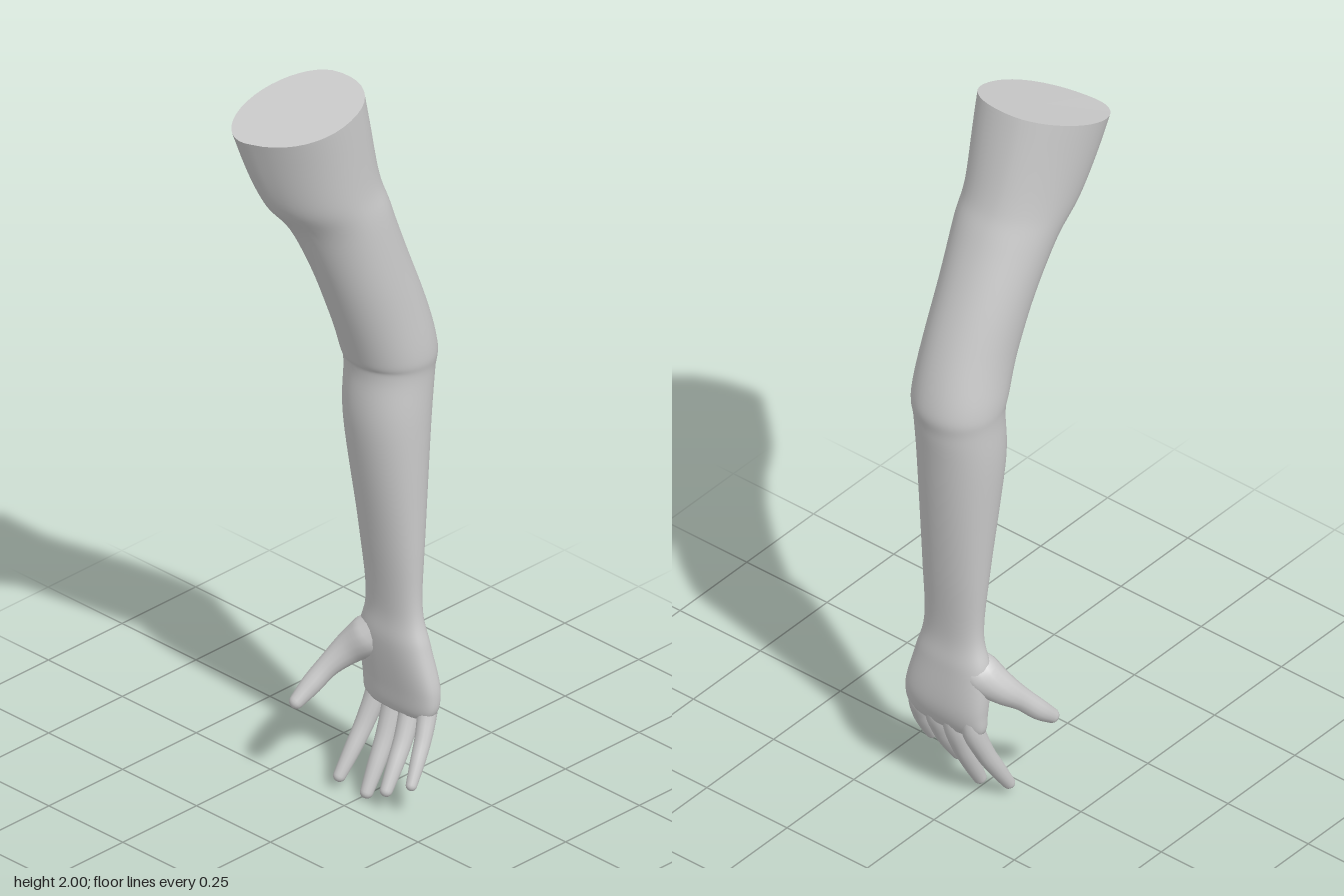
import * as THREE from 'three';

const material = new THREE.MeshStandardMaterial({ color: 0xcccccc });

// Smooth skin over a list of closed rings (each an array of Vector3)
function loft(name, rings) {
  const n = rings[0].length, index = [];
  for (let i = 0; i < rings.length - 1; i++) {
    for (let j = 0; j < n; j++) {
      const a = i * n + j, b = i * n + (j + 1) % n;
      index.push(a, b, a + n, b, b + n, a + n);
    }
  }
  const geometry = new THREE.BufferGeometry().setFromPoints(rings.flat());
  geometry.setIndex(index);
  geometry.computeVertexNormals();
  const mesh = new THREE.Mesh(geometry, material);
  mesh.name = name;
  return mesh;
}

// Catmull-Rom interpolation through rows of numbers
function sampleRows(rows, t) {
  const f = t * (rows.length - 1), i = Math.min(Math.floor(f), rows.length - 2), u = f - i;
  const at = k => rows[Math.max(0, Math.min(rows.length - 1, k))];
  return rows[0].map((_, c) => {
    const p0 = at(i - 1)[c], p1 = at(i)[c], p2 = at(i + 1)[c], p3 = at(i + 2)[c];
    return p1 + 0.5 * u * (p2 - p0 + u * (2 * p0 - 5 * p1 + 4 * p2 - p3 + u * (3 * (p1 - p2) + p3 - p0)));
  });
}

// Arm sections: right x, left x, front y, front z, back y, back z
const ARM = [
  [-0.17, 0.11, 1.905, 0.26, 2.0, -0.015],
  [-0.14, 0.105, 1.71, 0.19, 1.77, -0.064],
  [-0.125, 0.113, 1.59, 0.11, 1.65, -0.107],
  [-0.106, 0.12, 1.34, 0.015, 1.39, -0.21],
  [-0.108, 0.124, 1.22, -0.028, 1.23, -0.257],
  [-0.105, 0.117, 1.175, -0.042, 1.15, -0.253],
  [-0.102, 0.117, 1.02, -0.04, 1.02, -0.238],
  [-0.075, 0.11, 0.71, -0.083, 0.71, -0.207],
  [-0.062, 0.107, 0.52, -0.105, 0.52, -0.19],
  [-0.083, 0.13, 0.42, -0.103, 0.42, -0.197],
  [-0.083, 0.155, 0.3, -0.116, 0.3, -0.202],
  [-0.067, 0.135, 0.233, -0.127, 0.233, -0.183],
  [0.03, 0.03, 0.222, -0.155, 0.222, -0.155],
];

// Oval section: tilted towards the shoulder, squarer towards the palm
function armRing([x0, x1, fy, fz, by, bz], sides = 40) {
  const e = THREE.MathUtils.lerp(0.77, 0.95, THREE.MathUtils.smoothstep(fy, 0.3, 0.6));
  const tilt = 0.035 * THREE.MathUtils.smoothstep(fy, 1.4, 1.85);
  const power = v => Math.sign(v) * Math.abs(v) ** e;
  return Array.from({ length: sides }, (_, j) => {
    const a = j / sides * Math.PI * 2, c = power(Math.cos(a)), s = power(Math.sin(a));
    return new THREE.Vector3(
      (x0 + x1) / 2 + (x1 - x0) / 2 * c - tilt * 0.7 * Math.abs(s) * (1 - Math.abs(c)),
      (fy + by) / 2 + (fy - by) / 2 * s + tilt * 0.4 * c,
      (fz + bz) / 2 + (fz - bz) / 2 * s - tilt * c);
  });
}

// Flat cut closing the shoulder end
function cutCap(ring) {
  const centre = new THREE.Vector3();
  ring.forEach(p => centre.addScaledVector(p, 1 / ring.length));
  return loft('shoulderCut', [ring.map(() => centre.clone()), ring]);
}

// Tapered digit with rounded tip; points are x, y, z, radius
function digit(name, points, sides = 14, steps = 24) {
  const rows = [];
  for (let i = 0; i <= steps; i++) rows.push(sampleRows(points, i / steps));
  const last = rows[steps], end = new THREE.Vector3(...last);
  const dir = end.clone().sub(new THREE.Vector3(...rows[steps - 1])).normalize();
  for (let k = 1; k <= 5; k++) {
    const a = k / 5 * Math.PI / 2;
    const p = end.clone().addScaledVector(dir, last[3] * Math.sin(a));
    rows.push([p.x, p.y, p.z, last[3] * Math.cos(a)]);
  }
  return loft(name, rows.map((row, i) => {
    const p = new THREE.Vector3(...row);
    const t = new THREE.Vector3(...rows[Math.min(i + 1, rows.length - 1)])
      .sub(new THREE.Vector3(...rows[Math.max(i - 1, 0)])).normalize();
    const u = new THREE.Vector3(1, 0, 0).addScaledVector(t, -t.x).normalize();
    const v = t.clone().cross(u);
    return Array.from({ length: sides }, (_, j) => {
      const a = j / sides * Math.PI * 2;
      return p.clone().addScaledVector(u, row[3] * Math.cos(a)).addScaledVector(v, row[3] * Math.sin(a));
    });
  }));
}

// Finger curling forward: base x, base y, tip x, tip y, tip z, radius
function finger(name, [bx, by, tx, ty, tz, r]) {
  const { lerp } = THREE.MathUtils, bz = -0.162;
  return digit(name, [
    [bx, by + 0.09, bz, r * 0.8],
    [bx, by, bz, r * 1.08],
    [lerp(bx, tx, 0.4), lerp(by, ty, 0.4), lerp(bz, tz, 0.3), r * 0.95],
    [lerp(bx, tx, 0.72), lerp(by, ty, 0.72), lerp(bz, tz, 0.66), r * 0.82],
    [tx, ty, tz, r * 0.62],
  ]);
}

export function createModel() {
  const model = new THREE.Group();
  model.name = 'arm';

  // Upper arm, forearm and palm as one skin
  const rings = [], steps = 120;
  for (let i = 0; i <= steps; i++) rings.push(armRing(sampleRows(ARM, i / steps)));
  model.add(loft('armAndPalm', rings), cutCap(rings[0]));

  // Four fingers
  model.add(
    finger('indexFinger', [-0.047, 0.25, -0.07, 0.035, -0.055, 0.026]),
    finger('middleFinger', [0.01, 0.245, 0.011, 0.018, -0.066, 0.027]),
    finger('ringFinger', [0.066, 0.25, 0.083, 0.053, -0.06, 0.026]),
    finger('littleFinger', [0.122, 0.265, 0.153, 0.089, -0.075, 0.023]));

  // Thumb with the fleshy pad at its root
  model.add(digit('thumb', [
    [-0.01, 0.455, -0.148, 0.03],
    [-0.045, 0.405, -0.138, 0.051],
    [-0.088, 0.36, -0.108, 0.041],
    [-0.118, 0.315, -0.065, 0.029],
    [-0.137, 0.27, -0.025, 0.026],
    [-0.148, 0.235, 0.012, 0.019],
  ]));
  return model;
}
